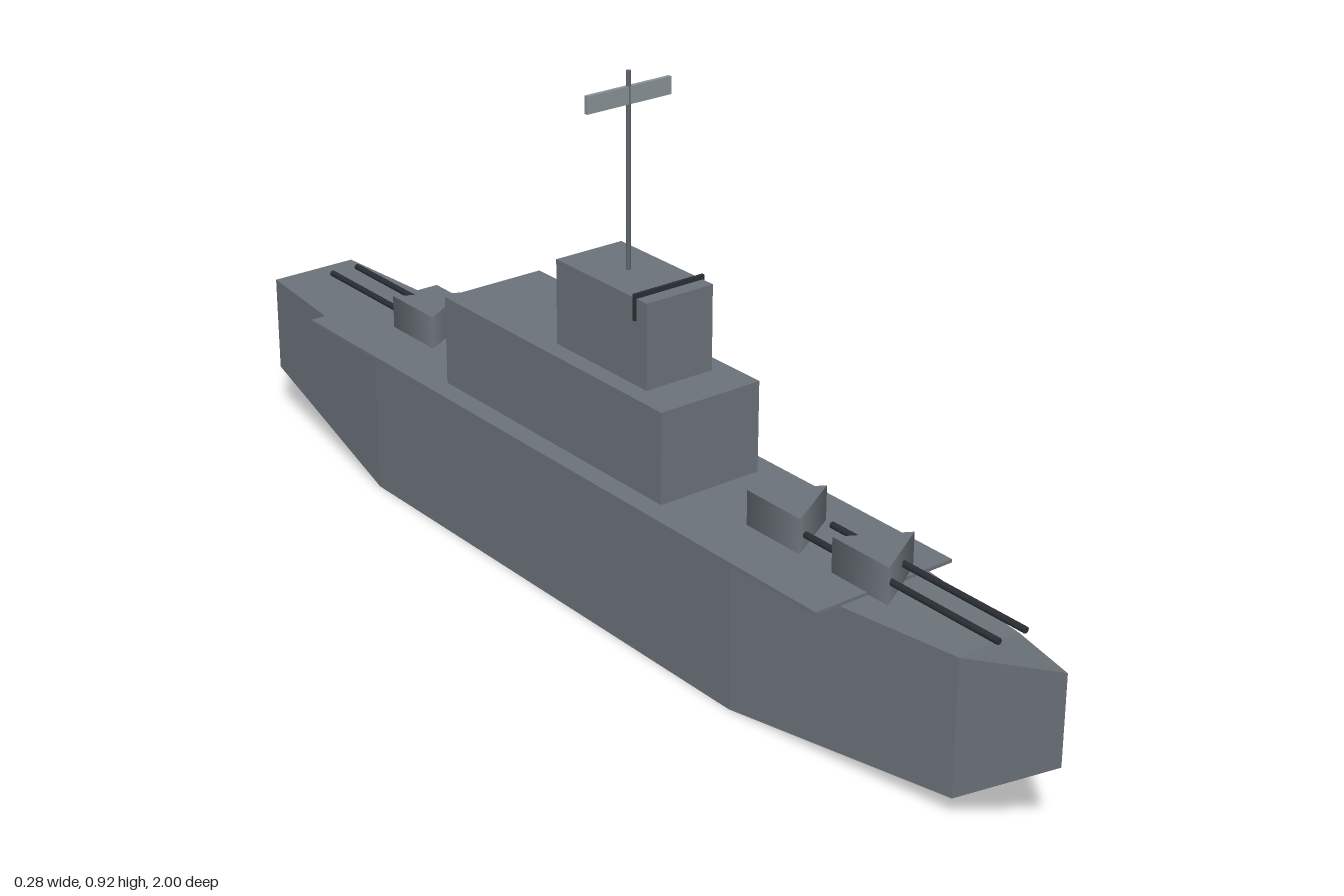
import * as THREE from 'three';

const mat = (name, color, extra = {}) => {
  const m = new THREE.MeshStandardMaterial({ color, ...extra });
  m.name = name;
  return m;
};

// Hull lofted through rectangular sections: [z, half width, bottom, top]
function hullGeometry() {
  const sections = [
    [1, 0, 0.14, 0.294],
    [0.845, 0.06, 0.034, 0.27],
    [0.405, 0.12, 0, 0.265],
    [-0.594, 0.12, 0, 0.265],
    [-0.992, 0.084, 0.09, 0.27],
  ];
  const rings = sections.map(([z, w, b, t]) => [[w, b, z], [w, t, z], [-w, t, z], [-w, b, z]]);
  const pos = [];
  const quad = (a, b, c, d) => pos.push(...a, ...b, ...c, ...a, ...c, ...d);
  for (let i = 0; i < rings.length - 1; i++) {
    for (let j = 0; j < 4; j++) {
      const k = (j + 1) % 4;
      quad(rings[i][j], rings[i + 1][j], rings[i + 1][k], rings[i][k]);
    }
  }
  // Transom
  const [a, b, c, d] = rings[rings.length - 1];
  quad(a, d, c, b);
  const g = new THREE.BufferGeometry();
  g.setAttribute('position', new THREE.Float32BufferAttribute(pos, 3));
  g.computeVertexNormals();
  return g;
}

export function createModel() {
  const ship = new THREE.Group();
  ship.name = 'warship';

  const grey = mat('hull grey', 0x6b7279);
  const dark = mat('dark steel', 0x2a2e33);
  const mastGrey = mat('mast grey', 0x5f676e);
  const pale = mat('pale grey', 0x899296);
  const bronze = mat('bronze', 0x8c5c20);

  const add = (parent, name, geometry, material, x, y, z) => {
    const m = new THREE.Mesh(geometry, material);
    m.name = name;
    m.position.set(x, y, z);
    parent.add(m);
    return m;
  };
  const box = (parent, name, material, w, h, d, x, y, z) =>
    add(parent, name, new THREE.BoxGeometry(w, h, d), material, x, y, z);

  add(ship, 'hull', hullGeometry(), grey, 0, 0, 0);
  box(ship, 'deck', grey, 0.276, 0.006, 1.4, 0, 0.27, -0.078);

  // Superstructure and bridge
  box(ship, 'superstructure', grey, 0.2, 0.166, 0.6, 0, 0.351, -0.094);
  box(ship, 'bridge', grey, 0.134, 0.15, 0.24, 0, 0.509, 0.006);
  box(ship, 'bridgeScreen', dark, 0.142, 0.045, 0.006, 0, 0.569, 0.097);

  // Mast with radar
  add(ship, 'mast', new THREE.CylinderGeometry(0.004, 0.004, 0.337, 8), mastGrey, 0, 0.752, -0.008);
  box(ship, 'radar', pale, 0.168, 0.03, 0.007, 0, 0.88, -0.008);

  // Three-sided turrets with twin guns; dir is the way the guns point
  const house = new THREE.CylinderGeometry(0.073, 0.073, 0.063, 3, 1, false, Math.PI / 2);
  const barrel = new THREE.CylinderGeometry(0.0055, 0.0055, 0.22, 8).rotateX(Math.PI / 2);
  for (const [name, z, dir] of [['frontTurret', 0.605, 1], ['middleTurret', 0.405, 1], ['rearTurret', -0.595, -1]]) {
    const turret = new THREE.Group();
    turret.name = name;
    turret.position.set(0, 0.302, z);
    add(turret, 'gunHouse', house, grey, 0, 0, 0);
    for (const x of [-0.027, 0.027]) add(turret, 'gunBarrel', barrel, dark, x, 0.003, dir * 0.175);
    ship.add(turret);
  }

  // Propeller: two crossed blades on the transom
  const propeller = new THREE.Group();
  propeller.name = 'propeller';
  propeller.position.set(0, 0.123, -0.995);
  box(propeller, 'bladeAcross', bronze, 0.106, 0.012, 0.009, 0, 0, 0);
  box(propeller, 'bladeUpright', bronze, 0.012, 0.106, 0.008, 0, 0, 0);
  ship.add(propeller);

  return ship;
}
